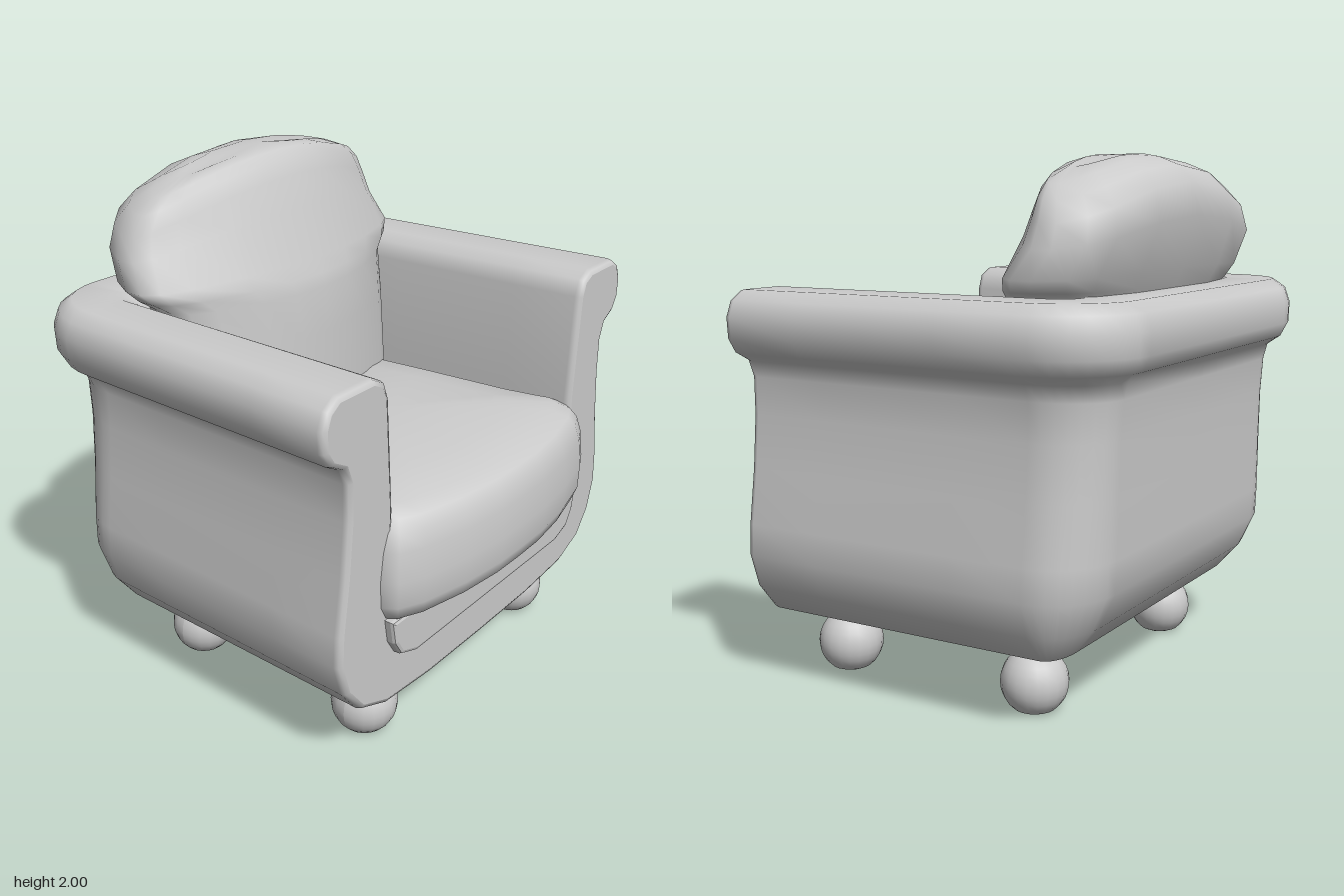
import * as THREE from 'three';
import { mergeVertices } from 'three/addons/utils/BufferGeometryUtils.js';

const material = new THREE.MeshStandardMaterial({ color: 0xcccccc, side: THREE.DoubleSide });

function addMesh(group, name, geometry) {
  const mesh = new THREE.Mesh(geometry, material);
  mesh.name = name;
  group.add(mesh);
  return mesh;
}

// Smooth skin over rows of [x, y, z] points
function skin(rows) {
  const n = rows[0].length, index = [];
  for (let i = 0; i < rows.length - 1; i++) {
    for (let j = 0; j < n - 1; j++) {
      const a = i * n + j, b = a + n;
      index.push(a, a + 1, b, a + 1, b + 1, b);
    }
  }
  const g = new THREE.BufferGeometry();
  g.setAttribute('position', new THREE.Float32BufferAttribute(rows.flat(2), 3));
  g.setIndex(index);
  const merged = mergeVertices(g, 1e-4);
  merged.computeVertexNormals();
  return merged;
}

// Extend a half row (x >= 0) with its mirror image
const mirrorRow = (half) => [...half, ...half.slice().reverse().map(([x, y, z]) => [-x, y, z])];

// Shell section: [half width at the front, height, depth behind the centre]
const SHELL = [
  [0, 0.2, 0.03], [0.35, 0.203, 0.2], [0.63, 0.225, 0.42], [0.78, 0.285, 0.57],
  [0.865, 0.39, 0.66], [0.905, 0.52, 0.72], [0.9, 0.64, 0.725], [0.87, 0.85, 0.73],
  [0.852, 1.05, 0.735], [0.852, 1.19, 0.745], [0.875, 1.25, 0.76], [0.94, 1.285, 0.81],
  [0.975, 1.34, 0.838], [0.98, 1.42, 0.84], [0.955, 1.48, 0.82], [0.9, 1.515, 0.77],
  [0.72, 1.515, 0.58], [0.66, 1.485, 0.52], [0.635, 1.42, 0.49], [0.605, 1, 0.46],
  [0.62, 0.62, 0.46], [0.6, 0.48, 0.44], [0.53, 0.41, 0.36], [0, 0.4, 0.03],
];

// Section moved inwards for the rounded front edge
function insetSection(e) {
  const last = SHELL.length - 1;
  return SHELL.map(([x, y], i) => {
    let t = new THREE.Vector2(i === 0 ? 1 : -1, 0);
    if (i > 0 && i < last) {
      t = new THREE.Vector2(SHELL[i + 1][0] - SHELL[i - 1][0], SHELL[i + 1][1] - SHELL[i - 1][1]).normalize();
    }
    return [x - t.y * e, y + t.x * e];
  });
}

function buildShell(group) {
  const soft = insetSection(0.006), face = insetSection(0.022);
  const rows = SHELL.map(([s, y, b], i) => {
    const sBack = s * 0.944, xc = Math.min(0.6, sBack * 0.95), zc = -Math.min(0.5, b - 0.02);
    const half = [[face[i][0], face[i][1], 0.672], [soft[i][0], soft[i][1], 0.664], [s, y, 0.645]];
    for (let k = 1; k < 4; k++) {
      const t = k / 4;
      half.push([s + (sBack - s) * t, y, 0.645 + (zc - 0.645) * t]);
    }
    for (let k = 0; k <= 8; k++) {
      const a = (k / 8) * Math.PI / 2;
      half.push([xc + (sBack - xc) * Math.cos(a), y, zc - (b + zc) * Math.sin(a)]);
    }
    half.push([0, y, -b]);
    return mirrorRow(half);
  });
  addMesh(group, 'armsAndBackShell', skin(rows));

  // Flat front face
  const outline = [...face, ...face.slice(1, -1).reverse().map(([x, y]) => [-x, y])];
  const shape = new THREE.Shape(outline.map(([x, y]) => new THREE.Vector2(x, y)));
  addMesh(group, 'shellFront', new THREE.ShapeGeometry(shape)).position.z = 0.672;
}

function buildSeatCushion(group) {
  const plan = [[0, 0.84], [0.15, 0.838], [0.35, 0.815], [0.55, 0.77], [0.645, 0.725], [0.68, 0.67],
    [0.665, 0.6], [0.64, 0.45], [0.61, 0], [0.58, -0.35], [0, -0.35]];
  // [scale about the middle, height]
  const levels = [[0, 0.57], [0.6, 0.57], [0.91, 0.572], [0.965, 0.595], [0.995, 0.65], [1, 0.75], [0.985, 0.86],
    [0.96, 0.925], [0.92, 0.965], [0.84, 0.997], [0.6, 1.025], [0.3, 1.04], [0, 1.045]];
  const rows = levels.map(([k, y]) => mirrorRow(plan.map(([x, z]) => [x * k, y, 0.2 + (z - 0.2) * k])));
  addMesh(group, 'seatCushion', skin(rows));
}

function buildBackCushion(group) {
  // [share of half width, share of depth from front to back]
  const plan = [[0, 0], [0.25, 0.025], [0.5, 0.09], [0.8, 0.23], [0.94, 0.34], [1, 0.45], [1, 0.6],
    [0.92, 0.8], [0.8, 0.93], [0.45, 1], [0, 1]];
  // [height, half width, front z, back z]
  const levels = [[0.9, 0.57, -0.08, -0.45], [1.3, 0.58, -0.09, -0.53], [1.48, 0.61, -0.105, -0.62],
    [1.53, 0.68, -0.12, -0.64], [1.59, 0.72, -0.14, -0.665], [1.78, 0.69, -0.205, -0.725],
    [1.9, 0.665, -0.25, -0.7], [1.96, 0.62, -0.28, -0.64], [1.99, 0.55, -0.315, -0.56],
    [2, 0.4, -0.36, -0.5], [2, 0, -0.43, -0.43]];
  const rows = levels.map(([y, w, zf, zb]) => {
    const dome = 0.33 * THREE.MathUtils.smoothstep(y, 1.5, 1.95);
    return mirrorRow(plan.map(([u, t]) => [u * w, y - dome * (u * w) ** 2, zf + (zb - zf) * t]));
  });
  addMesh(group, 'backCushion', skin(rows));
}

function buildSeatBase(group) {
  const half = [[0.635, 0.575], [0.62, 0.5], [0.585, 0.445], [0.5, 0.415]];
  const points = [...half.map(([x, y]) => [-x, y]), ...half.slice().reverse()];
  const shape = new THREE.Shape(points.map(([x, y]) => new THREE.Vector2(x, y)));
  const geometry = new THREE.ExtrudeGeometry(shape, {
    depth: 0.94, bevelThickness: 0.015, bevelSize: 0.015, bevelSegments: 2,
  });
  addMesh(group, 'seatBase', geometry).position.z = -0.245;
}

function buildFeet(group) {
  // Ball with a flattened underside
  const ball = new THREE.SphereGeometry(0.127, 20, 14);
  const p = ball.attributes.position;
  for (let i = 0; i < p.count; i++) p.setY(i, Math.max(p.getY(i), -0.11));
  ball.computeVertexNormals();
  for (const [end, x, z] of [['front', 0.53, 0.495], ['back', 0.515, -0.35]]) {
    for (const side of [1, -1]) {
      addMesh(group, end + (side > 0 ? 'LeftFoot' : 'RightFoot'), ball).position.set(side * x, 0.11, z);
    }
  }
}

export function createModel() {
  const group = new THREE.Group();
  group.name = 'armchair';
  buildShell(group);
  buildSeatBase(group);
  buildSeatCushion(group);
  buildBackCushion(group);
  buildFeet(group);
  return group;
}
